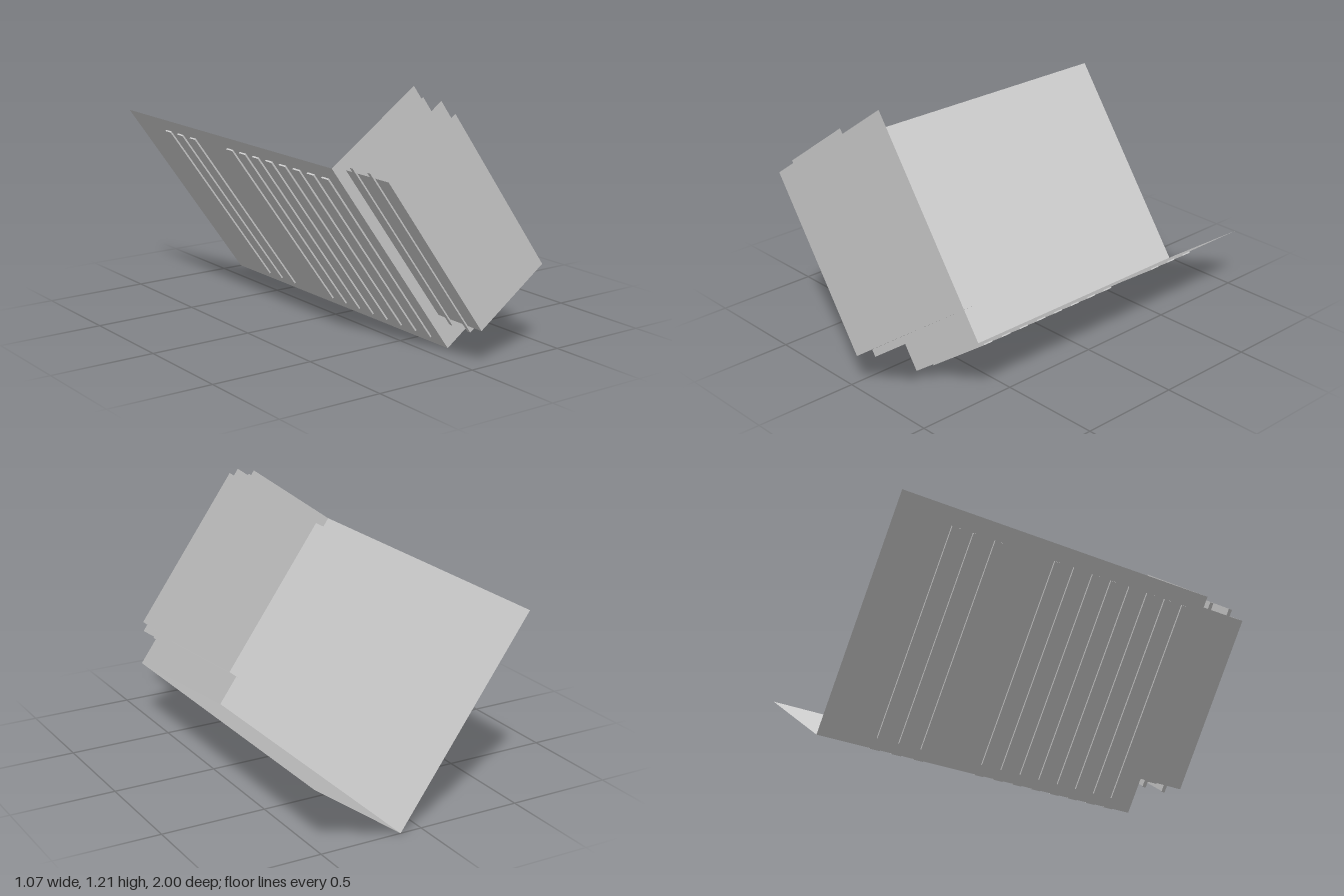
import * as THREE from 'three';

export function createModel() {
  const model = new THREE.Group();
  model.name = 'openCabinet';
  const grey = new THREE.MeshStandardMaterial({ color: 0xcccccc, side: THREE.DoubleSide });
  grey.name = 'grey';

  // Tilted frame: local x runs across the floor, local y up the side wall.
  const frame = new THREE.Group();
  frame.name = 'tiltedBody';
  frame.position.set(0.105, 0, 0);
  frame.rotation.z = Math.atan2(0.578, 0.816);
  model.add(frame);

  const add = (name, geometry, x, y, z) => {
    const mesh = new THREE.Mesh(geometry, grey);
    mesh.name = name;
    mesh.position.set(x, y, z);
    frame.add(mesh);
  };
  const panel = (name, x0, x1, y0, y1, z) =>
    add(name, new THREE.PlaneGeometry(x1 - x0, y1 - y0), (x0 + x1) / 2, (y0 + y1) / 2, z);
  const wall = (name, x, y0, y1, z0, z1) =>
    add(name, new THREE.PlaneGeometry(z1 - z0, y1 - y0).rotateY(Math.PI / 2), x, (y0 + y1) / 2, (z0 + z1) / 2);
  const floor = (name, y, x0, x1, z0, z1) =>
    add(name, new THREE.PlaneGeometry(x1 - x0, z1 - z0).rotateX(-Math.PI / 2), (x0 + x1) / 2, y, (z0 + z1) / 2);

  // Main body, open at the back, the top and one side
  const W = 0.527, H = 1.107;
  panel('bodyFront', 0, W, 0, H, 0.71);
  wall('bodySide', 0, 0, H, -1, 0.71);
  floor('bodyFloor', 0, 0, W, -1, 0.71);

  // Narrower front block that passes through the body front
  panel('blockFront', 0.05, 0.472, 0.168, 1.052, 1);
  wall('blockSide', 0.05, 0.168, 1.052, 0.61, 1);
  floor('blockFloor', 0.168, 0.05, 0.472, 0.61, 1);

  // Two flanges around the front block
  for (const z of [0.78, 0.9]) {
    panel('flangeFace', 0.043, 0.495, 0.133, 1.086, z + 0.01);
    wall('flangeEdge', 0.043, 0.133, 1.086, z - 0.01, z + 0.01);
  }

  // Slats on the outside of the floor and the side wall
  const T = 0.008;
  const slats = [-0.47, -0.585, -0.695];
  for (let i = 0; i < 8; i++) slats.push(0.605 - i * 0.107);
  for (const z of slats) {
    add('floorSlat', new THREE.BoxGeometry(0.424, T, 0.05), 0.238, -T / 2, z);
    add('sideSlat', new THREE.BoxGeometry(T, 0.98, 0.05), -T / 2, 0.54, z);
  }
  add('blockSlat', new THREE.BoxGeometry(0.14, T, 0.055), 0.142, 0.168 - T / 2, 0.84);

  return model;
}
